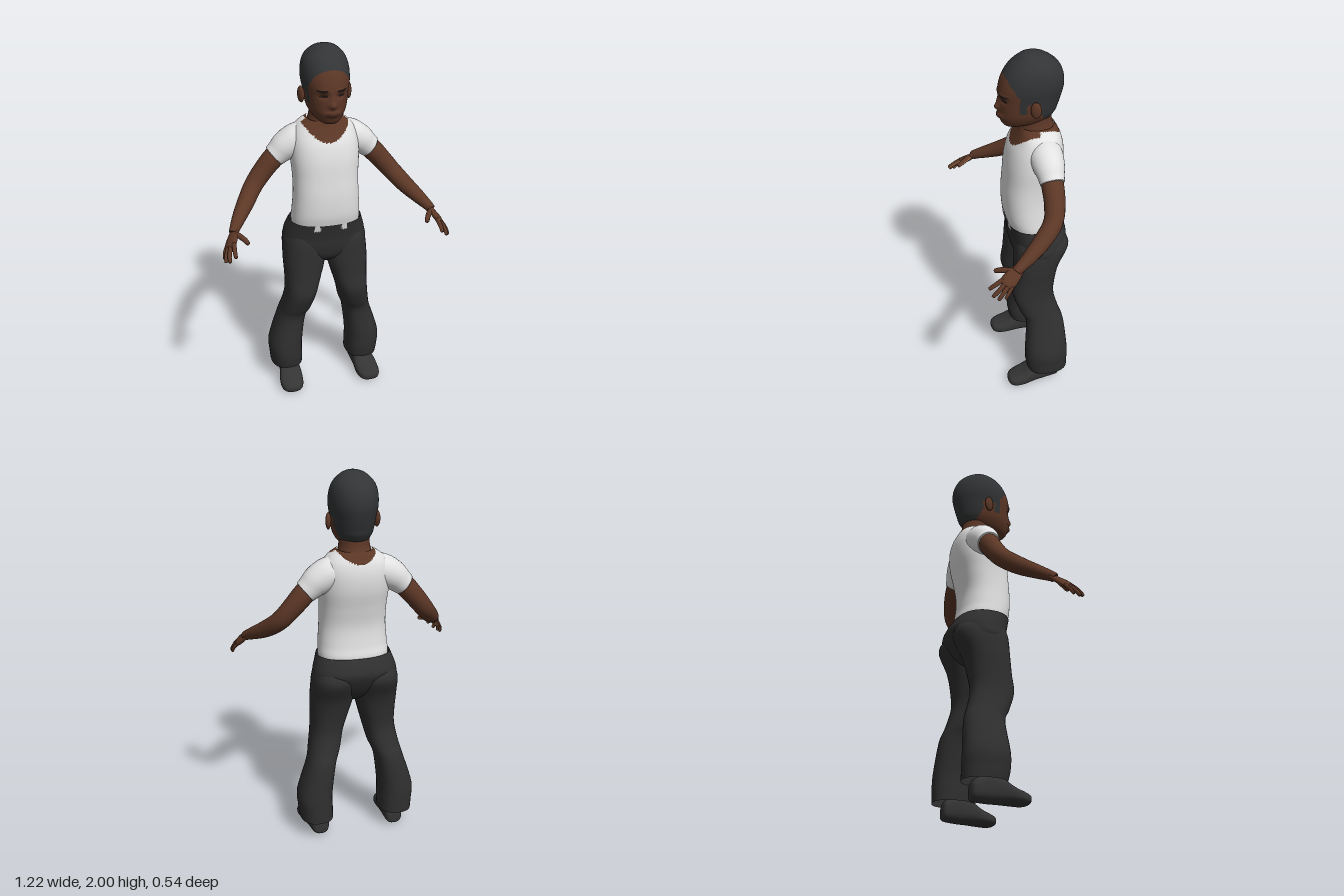
import * as THREE from 'three';

const mat = (name, color, side = THREE.FrontSide) => {
  const m = new THREE.MeshStandardMaterial({ color, side });
  m.name = name;
  return m;
};

// Catmull-Rom resampling of rows of numbers, n steps per interval
function sample(rows, n) {
  const out = [], last = rows.length - 1;
  for (let i = 0; i <= last * n; i++) {
    const k = Math.min(Math.floor(i / n), last - 1), t = i / n - k;
    const [a, b, c, d] = [-1, 0, 1, 2].map(o => rows[Math.min(Math.max(k + o, 0), last)]);
    out.push(b.map((_, j) => 0.5 * (2 * b[j] + (c[j] - a[j]) * t
      + (2 * a[j] - 5 * b[j] + 4 * c[j] - d[j]) * t * t
      + (3 * b[j] - a[j] - 3 * c[j] + d[j]) * t * t * t)));
  }
  return out;
}

// Smooth skin over closed rings of points
function skinRings(rings, caps) {
  const n = rings[0].length, pts = rings.flat(), idx = [];
  for (let r = 0; r < rings.length - 1; r++) for (let i = 0; i < n; i++) {
    const a = r * n + i, b = r * n + (i + 1) % n;
    idx.push(a, a + n, b, b, a + n, b + n);
  }
  if (caps) for (const r of [0, rings.length - 1]) {
    const c = rings[r].reduce((s, p) => s.add(p), new THREE.Vector3()).divideScalar(n);
    pts.push(c);
    for (let i = 0; i < n; i++) {
      const a = r * n + i, b = r * n + (i + 1) % n;
      idx.push(pts.length - 1, r ? b : a, r ? a : b);
    }
  }
  const g = new THREE.BufferGeometry().setFromPoints(pts);
  g.setIndex(idx);
  g.computeVertexNormals();
  return g;
}

// Upright form; rows are [y, centre x, half width, front z, back z]
function column(rows, { steps = 5, segs = 32, square = 1, caps = false, shape } = {}) {
  const pw = v => Math.sign(v) * Math.abs(v) ** square;
  return skinRings(sample(rows, steps).map(([y, cx, hw, zf, zb]) =>
    Array.from({ length: segs }, (_, i) => {
      const a = i / segs * Math.PI * 2;
      const p = new THREE.Vector3(cx + hw * pw(Math.cos(a)), y, (zf + zb) / 2 + (zf - zb) / 2 * pw(Math.sin(a)));
      if (shape) shape(p, Math.sin(a));
      return p;
    })), caps);
}

// Limb along a path; rows are [x, y, z, radius], flattened across the wide axis
function limb(rows, { steps = 5, segs = 20, flat = 1, wide = new THREE.Vector3(0, 1, 0) } = {}) {
  const s = sample(rows, steps), at = i => new THREE.Vector3(...s[Math.min(Math.max(i, 0), s.length - 1)]);
  return skinRings(s.map((row, i) => {
    const t = at(i + 1).sub(at(i - 1)).normalize();
    const u = wide.clone().addScaledVector(t, -wide.dot(t)).normalize();
    const v = u.clone().cross(t);
    return Array.from({ length: segs }, (_, k) => {
      const a = k / segs * Math.PI * 2;
      return at(i).addScaledVector(u, Math.cos(a) * row[3]).addScaledVector(v, Math.sin(a) * row[3] * flat);
    });
  }), true);
}

// Sort faces into colour groups by a rule on the face centre and normal
function paint(g, rule) {
  const p = g.attributes.position, idx = g.index.array, lists = [];
  const tri = new THREE.Triangle(), c = new THREE.Vector3(), n = new THREE.Vector3();
  for (let i = 0; i < idx.length; i += 3) {
    tri.setFromAttributeAndIndices(p, idx[i], idx[i + 1], idx[i + 2]);
    tri.getMidpoint(c);
    tri.getNormal(n);
    (lists[rule(c, n)] ??= []).push(idx[i], idx[i + 1], idx[i + 2]);
  }
  const all = [];
  lists.forEach((l, m) => {
    g.addGroup(all.length, l.length, m);
    for (const v of l) all.push(v);
  });
  g.setIndex(all);
  return g;
}

export function createModel() {
  const model = new THREE.Group();
  model.name = 'standingChild';
  const skin = mat('skin', 0x5c3726), palmSkin = mat('palmSkin', 0x966648), lip = mat('lips', 0x4c2a20);
  const dark = mat('eyesAndBrows', 0x1f1613), hair = mat('hair', 0x323435);
  const shirt = mat('shirt', 0xe2e2e2, THREE.DoubleSide);
  const trousers = mat('trousers', 0x2f2f30, THREE.DoubleSide), shoe = mat('shoes', 0x343435);
  const add = (name, g, m) => {
    const mesh = new THREE.Mesh(g, m);
    mesh.name = name;
    model.add(mesh);
  };

  // Head with modelled face
  const bump = (v, c, w) => Math.exp(-(((v - c) / w) ** 2));
  const face = (p, front) => {
    if (front <= 0) return;
    const x = Math.abs(p.x), y = p.y;
    p.z += front * (0.022 * bump(x, 0, 0.02) * bump(y, 1.722, 0.02)
      + 0.008 * bump(x, 0, 0.013) * bump(y, 1.755, 0.025)
      + 0.016 * bump(x, 0, 0.04) * bump(y, 1.675, 0.016)
      + 0.006 * bump(x, 0.045, 0.03) * bump(y, 1.797, 0.012)
      - 0.010 * bump(x, 0.045, 0.024) * bump(y, 1.77, 0.014));
  };
  const headColour = ({ x, y, z }) => {
    const ax = Math.abs(x);
    if (y > 1.92 || (y > 1.81 && z < 0.01 + (y - 1.81) * 0.6)) return 1;
    if (y > 1.77 && z < 0.005) return 1;
    if (y > 1.655 && z < -0.1 - Math.max(0, 1.72 - y) * 0.5) return 1;
    if (y > 1.715 && z < 0.003 && z > -0.03) return 1;
    if (z < 0) return 0;
    if (((ax - 0.046) / 0.02) ** 2 + ((y - 1.771) / 0.007) ** 2 < 1) return 2;
    if (((ax - 0.05) / 0.03) ** 2 + ((y - 1.797) / 0.006) ** 2 < 1) return 2;
    return (x / 0.036) ** 2 + ((y - 1.675) / 0.012) ** 2 < 1 ? 3 : 0;
  };
  add('head', paint(column([
    [1.612, 0, 0.015, 0.045, 0], [1.618, 0, 0.045, 0.062, -0.05], [1.64, 0, 0.075, 0.078, -0.16],
    [1.68, 0, 0.098, 0.086, -0.2], [1.72, 0, 0.108, 0.088, -0.215], [1.77, 0, 0.115, 0.09, -0.23],
    [1.83, 0, 0.124, 0.088, -0.242], [1.89, 0, 0.121, 0.068, -0.235], [1.94, 0, 0.104, 0.033, -0.208],
    [1.98, 0, 0.066, -0.015, -0.155], [1.996, 0, 0.03, -0.045, -0.11], [2, 0, 0.003, -0.075, -0.081],
  ], { steps: 9, segs: 96, square: 0.94, caps: true, shape: face }), headColour), [skin, hair, dark, lip]);
  add('neck', column([[1.5, 0, 0.1, -0.01, -0.2], [1.58, 0, 0.09, -0.012, -0.2],
    [1.63, 0, 0.08, -0.015, -0.185], [1.7, 0, 0.078, -0.02, -0.18]]), skin);

  // Shirt body, with bare skin above the neckline
  add('torso', paint(column([
    [0.98, 0, 0.18, 0.04, -0.205], [1.04, 0, 0.188, 0.058, -0.213], [1.1, 0, 0.184, 0.07, -0.202],
    [1.2, 0, 0.177, 0.073, -0.195], [1.3, 0, 0.177, 0.066, -0.212], [1.4, 0, 0.184, 0.057, -0.235],
    [1.48, 0, 0.182, 0.038, -0.24], [1.54, 0, 0.168, 0.01, -0.23], [1.58, 0, 0.135, -0.008, -0.212],
    [1.605, 0, 0.09, -0.015, -0.195],
  ], { steps: 8, segs: 80, square: 0.82 }),
  ({ x, y, z }) => (y > (z > -0.1 ? 1.5 : 1.545) + 5.5 * x * x ? 1 : 0)), [shirt, skin]);

  // Trouser seat, with shirt tail peeking over the waistband
  add('trouserSeat', paint(column([
    [0.775, 0, 0.04, -0.04, -0.13], [0.82, 0, 0.14, 0.015, -0.19], [0.88, 0, 0.228, 0.036, -0.235],
    [0.95, 0, 0.226, 0.045, -0.265], [1.0, 0, 0.212, 0.055, -0.25], [1.04, 0, 0.198, 0.064, -0.224],
  ], { steps: 6, segs: 96, square: 0.85, caps: false }),
  ({ x, y, z }) => (z > 0 && y > 1.005 && Math.abs(Math.abs(x) - 0.075) < 0.016 ? 1 : 0)), [trousers, shirt]);

  for (const s of [1, -1]) {
    const side = s > 0 ? 'left' : 'right';
    const flip = rows => rows.map(([x, ...rest]) => [x * s, ...rest]);

    // Ear
    const ear = new THREE.SphereGeometry(1, 20, 14).scale(0.014, 0.044, 0.027);
    ear.rotateY(-s * 0.35).translate(s * 0.128, 1.745, -0.072);
    add(side + 'Ear', ear, skin);

    // Trouser leg, flaring at the open hem
    add(side + 'TrouserLeg', column([
      [0.1, 0.226, 0.09, -0.018, -0.245], [0.16, 0.229, 0.093, -0.005, -0.245], [0.25, 0.23, 0.094, -0.004, -0.242],
      [0.42, 0.193, 0.079, -0.015, -0.226], [0.5, 0.168, 0.084, 0.018, -0.2], [0.6, 0.147, 0.088, 0.052, -0.177],
      [0.7, 0.132, 0.102, 0.044, -0.186], [0.8, 0.121, 0.116, 0.038, -0.21], [0.92, 0.115, 0.112, 0.03, -0.262],
      [1.0, 0.105, 0.08, 0, -0.2],
    ].map(([y, cx, ...r]) => [y, cx * s, ...r]), { square: 0.85 }), trousers);

    // Shoe, drawn heel to toe and laid flat; last two numbers are sole and top heights
    const shoeRows = [
      [-0.2, 0.212, 0.025, -0.02, -0.07], [-0.185, 0.213, 0.046, -0.006, -0.11], [-0.12, 0.217, 0.054, 0, -0.14],
      [-0.05, 0.223, 0.06, 0, -0.125], [0.01, 0.228, 0.067, 0, -0.085], [0.06, 0.231, 0.062, 0, -0.064],
      [0.09, 0.232, 0.045, -0.006, -0.052], [0.101, 0.232, 0.02, -0.018, -0.038],
    ].map(([z, cx, ...r]) => [z, cx * s, ...r]);
    add(side + 'Shoe', column(shoeRows, { square: 0.75, caps: true }).rotateX(Math.PI / 2), shoe);

    // Sleeve and bare arm
    add(side + 'Sleeve', limb(flip([[0.07, 1.49, -0.12, 0.085], [0.14, 1.483, -0.122, 0.088],
      [0.2, 1.453, -0.124, 0.08], [0.24, 1.42, -0.125, 0.068], [0.266, 1.398, -0.125, 0.062]]), { segs: 32 }), shirt);
    add(side + 'Arm', limb(flip([[0.23, 1.43, -0.124, 0.05], [0.27, 1.39, -0.124, 0.057], [0.33, 1.322, -0.12, 0.054],
      [0.39, 1.25, -0.097, 0.05], [0.445, 1.19, -0.03, 0.046], [0.495, 1.145, 0.045, 0.037],
      [0.532, 1.112, 0.11, 0.027], [0.54, 1.1, 0.125, 0.025]])), skin);

    // Hand with paler palm side
    const wide = new THREE.Vector3(-0.05 * s, 0.04, 0.085);
    const palmDir = new THREE.Vector3(-0.75 * s, -0.65, -0.14);
    const handPart = (name, rows, opts) => add(side + name,
      paint(limb(flip(rows), { wide, segs: 14, ...opts }), (c, n) => (n.dot(palmDir) > 0.55 ? 1 : 0)), [skin, palmSkin]);
    handPart('Palm', [[0.528, 1.116, 0.1, 0.026], [0.542, 1.095, 0.13, 0.034], [0.56, 1.069, 0.165, 0.041],
      [0.57, 1.053, 0.188, 0.036], [0.573, 1.048, 0.194, 0.02]], { flat: 0.42 });
    const fingers = [
      ['Thumb', [0.53, 1.1, 0.145], [0.5, 1.09, 0.19], [0.484, 1.078, 0.222], 0.014],
      ['IndexFinger', [0.552, 1.073, 0.195], [0.556, 1.05, 0.235], [0.556, 1.03, 0.266], 0.0115],
      ['MiddleFinger', [0.566, 1.06, 0.188], [0.582, 1.03, 0.225], [0.586, 1.003, 0.255], 0.0115],
      ['RingFinger', [0.577, 1.05, 0.175], [0.596, 1.02, 0.207], [0.603, 0.992, 0.23], 0.011],
      ['LittleFinger', [0.583, 1.046, 0.158], [0.6, 1.018, 0.18], [0.605, 0.995, 0.196], 0.0095],
    ];
    for (const [name, a, b, c, r] of fingers) {
      const tip = c.map((v, i) => v + (c[i] - b[i]) * 0.12);
      handPart(name, [[...a, r * 1.1], [...b, r], [...c, r * 0.8], [...tip, r * 0.25]], { segs: 10, steps: 3 });
    }
  }
  return model;
}
